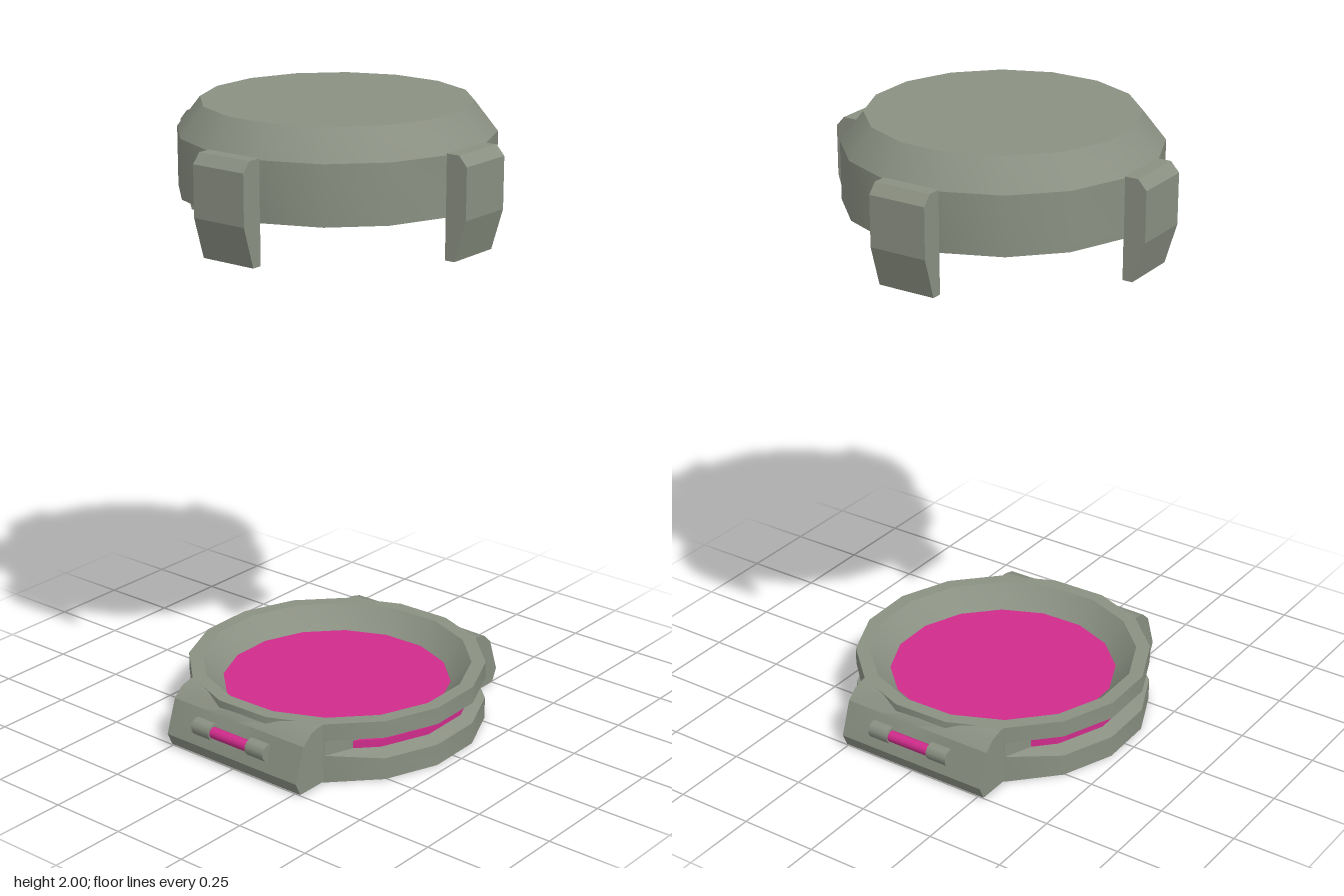
import * as THREE from 'three';
import { toCreasedNormals } from 'three/addons/utils/BufferGeometryUtils.js';

const SIDES = 16;
const TURN = THREE.MathUtils.degToRad(1.25); // slight twist of the round parts
const START = THREE.MathUtils.degToRad(12.5); // first corner of the 16-sided rings
const R = 0.475;

const grey = new THREE.MeshStandardMaterial({ color: 0x8a9082 });
grey.name = 'casingGrey';
const pink = new THREE.MeshStandardMaterial({ color: 0xd02c8c });
pink.name = 'glowPink';
const dark = new THREE.MeshStandardMaterial({ color: 0x424242 });
dark.name = 'undersideDark';

const vecs = (pts) => pts.map(([x, y]) => new THREE.Vector2(x, y));
const lathe = (pts) => new THREE.LatheGeometry(vecs(pts), SIDES, START);
const crease = (geo) => toCreasedNormals(geo, 0.5);

function add(parent, name, geo, mat, x = 0, y = 0, z = 0) {
  const mesh = new THREE.Mesh(geo, mat);
  mesh.name = name;
  mesh.position.set(x, y, z);
  parent.add(mesh);
  return mesh;
}

// Flat 16-sided disc, facing up or down
function disc(r, up) {
  const geo = new THREE.CircleGeometry(r, SIDES, TURN + Math.PI / 16);
  geo.rotateX(up ? -Math.PI / 2 : Math.PI / 2);
  if (!up) geo.rotateY(2 * TURN);
  return geo;
}

function buildCap() {
  const cap = new THREE.Group();
  cap.name = 'cap';
  add(cap, 'capShell', crease(lathe([
    [0.365, 1.82], [R, 1.73], [R, 1.91], [0.405, 2],
  ])), grey);
  add(cap, 'capTop', disc(0.405, true), grey, 0, 2, 0);
  add(cap, 'capInnerGlow', disc(0.365, false), pink, 0, 1.82, 0);

  // Four clips hanging down around the rim
  const profile = new THREE.Shape(vecs([
    [0.465, 1.605], [0.497, 1.605], [0.535, 1.73], [0.535, 1.885], [0.508, 1.915], [0.465, 1.915],
  ]));
  const clipGeo = new THREE.ExtrudeGeometry(profile, { depth: 0.185, bevelEnabled: false });
  clipGeo.translate(0, 0, -0.0925);
  for (let i = 0; i < 4; i++) {
    add(cap, 'clip', clipGeo, grey).rotation.y = TURN + i * Math.PI / 2;
  }
  return cap;
}

// Side lug; its inner side follows the round body
function lugGeometry() {
  const profile = new THREE.Shape(vecs([
    [0.39, 0.003], [0.5, 0.003], [0.52, 0.045], [0.483, 0.155], [0.45, 0.185], [0.41, 0.195], [0.39, 0.195],
  ]));
  const geo = new THREE.ExtrudeGeometry(profile, { depth: 0.525, steps: 4, bevelEnabled: false });
  geo.translate(0, 0, -0.27);
  const p = geo.attributes.position;
  for (let i = 0; i < p.count; i++) {
    const z = p.getZ(i);
    p.setX(i, Math.max(p.getX(i), Math.sqrt(0.455 ** 2 - z * z)));
  }
  return crease(geo);
}

function buildBase() {
  const base = new THREE.Group();
  base.name = 'base';

  // Body with a groove that fades out before the lugs
  const body = lathe([
    [R, 0], [R, 0.07], [0.4, 0.09], [0.4, 0.115], [R, 0.14], [R, 0.195], [0.43, 0.195], [0.365, 0.125],
  ]);
  const p = body.attributes.position;
  for (let i = 0; i < p.count; i++) {
    const x = p.getX(i), y = p.getY(i), z = p.getZ(i);
    const r = Math.hypot(x, z);
    if (y > 0.08 && y < 0.12 && Math.abs(z) / r < 0.7) {
      p.setXYZ(i, x * R / r, y, z * R / r);
    }
  }
  add(base, 'baseBody', crease(body), grey);
  add(base, 'baseInnerGlow', disc(0.365, true), pink, 0, 0.125, 0);
  add(base, 'grooveGlow', new THREE.CylinderGeometry(0.435, 0.435, 0.025, SIDES, 1, false, START),
    pink, 0, 0.1025, 0);

  // Lugs with a glowing pin held between two knobs
  const lug = lugGeometry();
  const knob = new THREE.CylinderGeometry(0.028, 0.028, 0.072, 10).rotateX(Math.PI / 2);
  const pin = new THREE.CylinderGeometry(0.018, 0.018, 0.16, 10).rotateX(Math.PI / 2);
  for (const side of [0, 1]) {
    const group = new THREE.Group();
    group.name = side ? 'rightLug' : 'leftLug';
    group.rotation.y = side * Math.PI;
    add(group, 'lugBlock', lug, grey);
    add(group, 'pinGlow', pin, pink, 0.507, 0.103, 0);
    for (const s of [-1, 1]) add(group, 'pinKnob', knob, grey, 0.501, 0.103, s * 0.11);
    base.add(group);
  }

  // Dark underside, spanning body and lugs
  const outline = [];
  for (const half of [0, 1]) {
    const s = half ? -1 : 1;
    for (let k = 0; k < 6; k++) {
      const a = THREE.MathUtils.degToRad(32.5 + 22.5 * k);
      outline.push([s * R * Math.cos(a), s * R * Math.sin(a)]);
    }
    outline.push([-s * 0.5, s * 0.27], [-s * 0.5, -s * 0.255]);
  }
  const under = new THREE.ShapeGeometry(new THREE.Shape(vecs(outline)));
  under.rotateX(Math.PI / 2);
  add(base, 'underside', under, dark);
  return base;
}

export function createModel() {
  const model = new THREE.Group();
  model.name = 'capAndBase';
  model.add(buildCap(), buildBase());
  return model;
}
